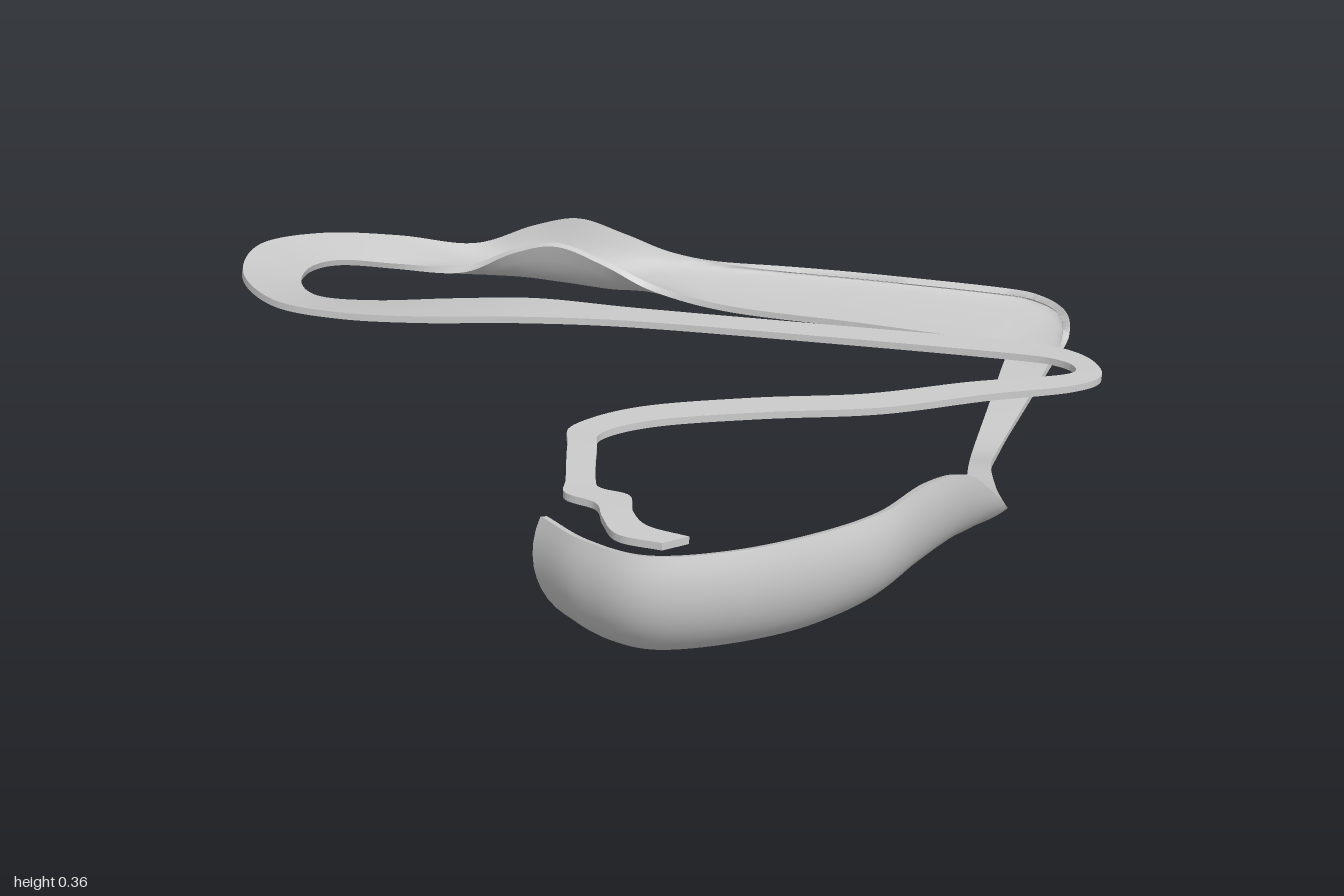
import * as THREE from 'three';
import { toCreasedNormals } from 'three/addons/utils/BufferGeometryUtils.js';

// Each row: outer edge xyz, inner edge xyz, bowl curl (0..1), half-pipe depth
const sections = {
  bankedTurn: [
    [0.17, 0.355, 0.885, 0.29, 0.13, 0.81, 1, 0],
    [0.26, 0.355, 0.945, 0.325, 0.13, 0.83, 1, 0],
    [0.37, 0.355, 0.97, 0.38, 0.13, 0.82, 1, 0],
    [0.5, 0.355, 0.915, 0.48, 0.13, 0.76, 1, 0],
    [0.62, 0.355, 0.82, 0.57, 0.13, 0.68, 1, 0],
    [0.71, 0.355, 0.715, 0.63, 0.135, 0.57, 1, 0],
    [0.765, 0.35, 0.58, 0.69, 0.148, 0.47, 1, 0],
    [0.81, 0.31, 0.45, 0.74, 0.145, 0.38, 0.9, 0],
    [0.845, 0.23, 0.34, 0.77, 0.12, 0.29, 0.6, 0],
    [0.868, 0.145, 0.22, 0.775, 0.09, 0.18, 0.3, 0],
  ],
  sideRamp: [
    [0.835, 0.085, 0.05, 0.772, 0.07, 0.03, 0, 0],
    [0.805, 0.055, -0.1, 0.76, 0.05, -0.1, 0, 0],
    [0.8, 0.017, -0.25, 0.75, 0.017, -0.25, 0, 0],
    [0.82, 0.015, -0.45, 0.75, 0.015, -0.45, 0, 0],
    [0.848, 0.022, -0.68, 0.75, 0.015, -0.65, 0.2, 0],
  ],
  backStraight: [
    [0.862, 0.03, -0.82, 0.75, 0.015, -0.735, 0.5, 0],
    [0.845, 0.04, -0.92, 0.74, 0.015, -0.77, 0.7, 0],
    [0.79, 0.045, -0.975, 0.72, 0.016, -0.785, 0.7, 0],
    [0.7, 0.045, -0.997, 0.66, 0.018, -0.79, 0.7, 0],
    [0.4, 0.045, -0.995, 0.4, 0.02, -0.8, 0.7, 0],
    [0.1, 0.047, -0.985, 0.1, 0.022, -0.805, 0.6, 0.005],
    [-0.08, 0.065, -0.98, -0.08, 0.05, -0.81, 0.3, 0.03],
  ],
  halfPipe: [
    [-0.2, 0.1, -0.977, -0.2, 0.095, -0.813, 0, 0.08],
    [-0.32, 0.128, -0.975, -0.32, 0.128, -0.817, 0, 0.11],
    [-0.43, 0.1, -0.975, -0.43, 0.1, -0.82, 0, 0.08],
    [-0.58, 0.04, -0.965, -0.56, 0.04, -0.82, 0, 0.02],
  ],
  leftTurn: [
    [-0.75, 0.065, -0.905, -0.71, 0.043, -0.785, 0, 0],
    [-0.9, 0.1, -0.79, -0.82, 0.075, -0.7, 0, 0],
    [-0.995, 0.125, -0.63, -0.86, 0.093, -0.6, 0, 0],
    [-0.965, 0.129, -0.45, -0.835, 0.105, -0.48, 0, 0],
    [-0.83, 0.137, -0.305, -0.755, 0.117, -0.395, 0, 0],
    [-0.65, 0.155, -0.243, -0.61, 0.135, -0.37, 0, 0],
  ],
  middleStraight: [
    [-0.45, 0.177, -0.225, -0.42, 0.165, -0.365, 0, 0],
    [-0.25, 0.195, -0.24, -0.23, 0.19, -0.36, 0, 0],
    [0, 0.202, -0.272, 0, 0.2, -0.347, 0, 0],
    [0.4, 0.206, -0.297, 0.4, 0.206, -0.36, 0, 0],
    [0.8, 0.213, -0.307, 0.8, 0.213, -0.37, 0, 0],
  ],
  hairpin: [
    [0.905, 0.216, -0.295, 0.94, 0.216, -0.34, 0, 0],
    [0.945, 0.218, -0.255, 0.998, 0.218, -0.25, 0, 0],
    [0.91, 0.219, -0.213, 0.95, 0.219, -0.175, 0, 0],
    [0.75, 0.222, -0.13, 0.79, 0.222, -0.08, 0, 0],
  ],
  returnRibbon: [
    [0.56, 0.228, -0.005, 0.6, 0.228, 0.05, 0, 0],
    [0.35, 0.235, 0.09, 0.385, 0.235, 0.148, 0, 0],
    [0.15, 0.24, 0.2, 0.2, 0.24, 0.245, 0, 0],
    [0.05, 0.242, 0.315, 0.113, 0.242, 0.33, 0, 0],
    [0.062, 0.244, 0.4, 0.12, 0.244, 0.4, 0, 0],
    [0.1, 0.245, 0.54, 0.155, 0.245, 0.53, 0, 0],
  ],
  chicane: [
    [0.115, 0.246, 0.595, 0.175, 0.246, 0.56, 0, 0],
    [0.18, 0.247, 0.62, 0.232, 0.247, 0.575, 0, 0],
    [0.207, 0.248, 0.67, 0.255, 0.248, 0.635, 0, 0],
    [0.25, 0.248, 0.725, 0.295, 0.248, 0.68, 0, 0],
    [0.335, 0.248, 0.735, 0.375, 0.248, 0.698, 0, 0],
  ],
};

const ACROSS = 14, STEPS = 8, THICK = 0.015;

export function createModel() {
  const group = new THREE.Group();
  const material = new THREE.MeshStandardMaterial({ color: 0xcccccc });
  const rows = Object.values(sections).flat();
  const spline = (pick) => new THREE.CatmullRomCurve3(rows.map(pick), false, 'catmullrom', 0.5);
  const outer = spline((r) => new THREE.Vector3(r[0], r[1], r[2]));
  const inner = spline((r) => new THREE.Vector3(r[3], r[4], r[5]));
  const shape = spline((r) => new THREE.Vector3(r[6], r[7], 0));
  const total = (rows.length - 1) * STEPS;

  // Top surface: straight across, curled up into a bowl, or sagging as a half-pipe
  const grid = [];
  for (let i = 0; i <= total; i++) {
    const u = i / total;
    const a = outer.getPoint(u), b = inner.getPoint(u), s = shape.getPoint(u);
    const line = [];
    for (let j = 0; j <= ACROSS; j++) {
      const t = 1 - j / ACROSS;
      const h = THREE.MathUtils.lerp(t, Math.sin(2 * t) / Math.sin(2), s.x);
      const v = THREE.MathUtils.lerp(t, (1 - Math.cos(2 * t)) / (1 - Math.cos(2)), s.x);
      const sag = s.y * (1 - Math.abs(2 * t - 1) ** 3);
      line.push(new THREE.Vector3(b.x + (a.x - b.x) * h, b.y + (a.y - b.y) * v - sag, b.z + (a.z - b.z) * h));
    }
    grid.push(line);
  }

  // Closed ring per step: top points, then the underside back again
  const rings = grid.map((line, i) => {
    const next = grid[Math.min(i + 1, total)], prev = grid[Math.max(i - 1, 0)];
    const under = line.map((p, j) => {
      const along = next[j].clone().sub(prev[j]);
      const side = line[Math.min(j + 1, ACROSS)].clone().sub(line[Math.max(j - 1, 0)]);
      const q = p.clone().addScaledVector(along.cross(side).normalize(), -THICK);
      q.y = Math.max(q.y, 0);
      return q;
    });
    return [...line, ...under.reverse()];
  });

  const n = 2 * (ACROSS + 1);
  let first = 0;
  for (const [name, list] of Object.entries(sections)) {
    const from = first * STEPS;
    const to = Math.min((first + list.length) * STEPS, total);
    first += list.length;
    const part = rings.slice(from, to + 1);
    const index = [];
    const quad = (a, b, c, d) => index.push(a, b, c, a, c, d);
    for (let i = 0; i < part.length - 1; i++) {
      for (let j = 0; j < n; j++) {
        const k = (j + 1) % n;
        quad(i * n + j, (i + 1) * n + j, (i + 1) * n + k, i * n + k);
      }
    }
    // Caps on the two free ends of the track
    const last = (part.length - 1) * n;
    for (let j = 0; j < ACROSS; j++) {
      if (from === 0) quad(j, j + 1, n - 2 - j, n - 1 - j);
      if (to === total) quad(last + j, last + n - 1 - j, last + n - 2 - j, last + j + 1);
    }
    const geometry = new THREE.BufferGeometry().setFromPoints(part.flat());
    geometry.setIndex(index);
    const mesh = new THREE.Mesh(toCreasedNormals(geometry, 0.8), material);
    mesh.name = name;
    group.add(mesh);
  }
  return group;
}
